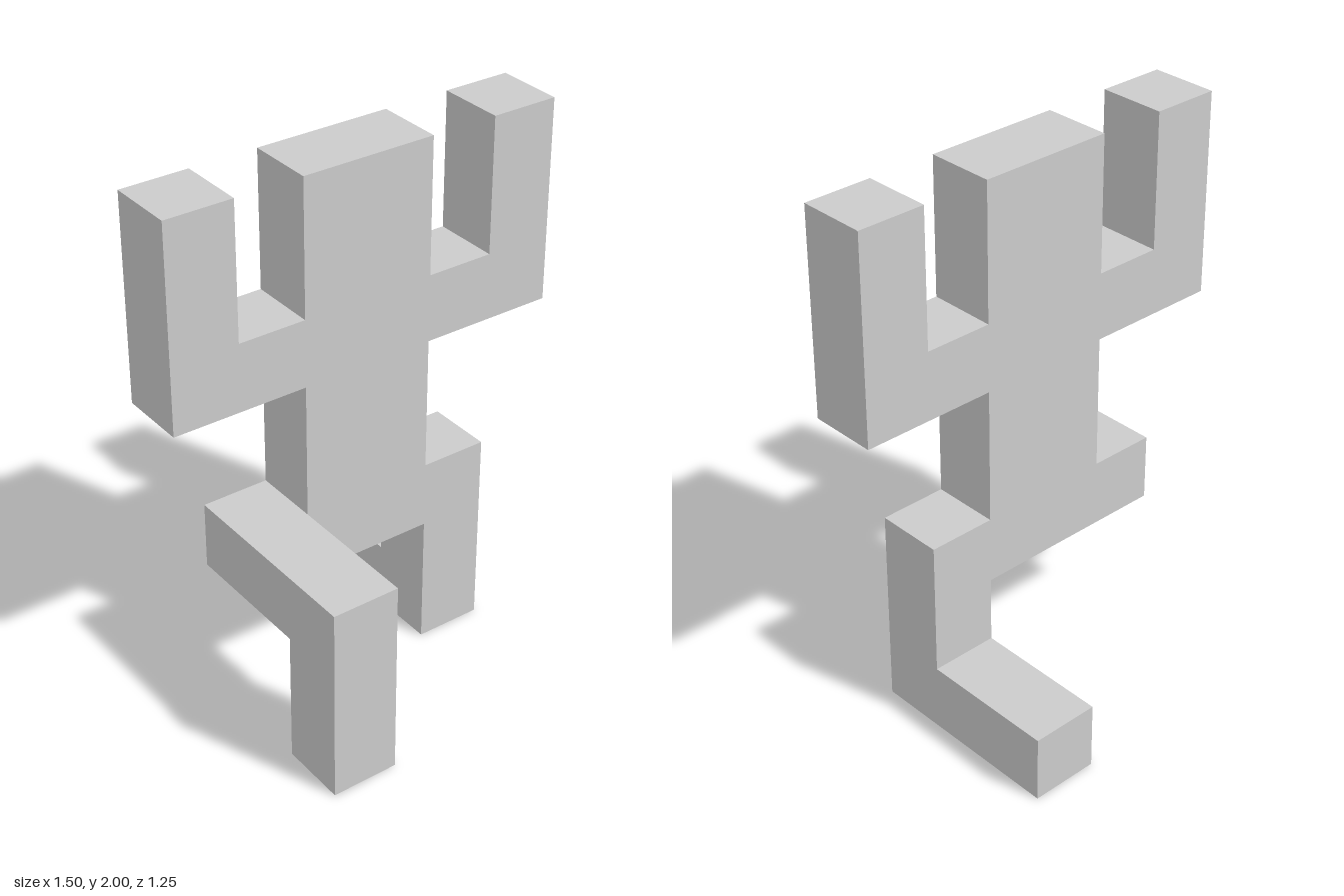
import * as THREE from 'three';

const T = 0.25; // thickness shared by the body and all limbs

export function createModel() {
  const model = new THREE.Group();
  const material = new THREE.MeshStandardMaterial({ color: 0xcccccc, flatShading: true });

  // Extrudes an outline by the shared thickness, centred on its own plane
  const slab = (name, points) => {
    const shape = new THREE.Shape(points.map(([x, y]) => new THREE.Vector2(x, y)));
    const geometry = new THREE.ExtrudeGeometry(shape, { depth: T, bevelEnabled: false });
    geometry.translate(0, 0, -T / 2);
    const mesh = new THREE.Mesh(geometry, material);
    mesh.name = name;
    model.add(mesh);
    return mesh;
  };

  // Head and torso in one block
  slab('headAndTorso', [[-0.25, 0.5], [0.25, 0.5], [0.25, 2], [-0.25, 2]]);

  // Raised arms, mirrored
  for (const [name, s] of [['leftArm', 1], ['rightArm', -1]]) {
    slab(name, [[0.25, 1.25], [0.75, 1.25], [0.75, 2], [0.5, 2], [0.5, 1.5], [0.25, 1.5]]
      .map(([x, y]) => [s * x, y]));
  }

  // Legs: outlines in (z, y), turned to face sideways
  const leg = (name, x, points) => {
    const mesh = slab(name, points);
    mesh.rotation.y = -Math.PI / 2;
    mesh.position.x = x;
  };
  // Right leg steps forward with the knee bent
  leg('rightLeg', -0.375, [[-0.125, 0.5], [0.375, 0.5], [0.375, 0], [0.625, 0], [0.625, 0.75], [-0.125, 0.75]]);
  // Left leg kneels with the shin trailing behind
  leg('leftLeg', 0.375, [[-0.625, 0], [0.125, 0], [0.125, 0.75], [-0.125, 0.75], [-0.125, 0.25], [-0.625, 0.25]]);

  return model;
}
